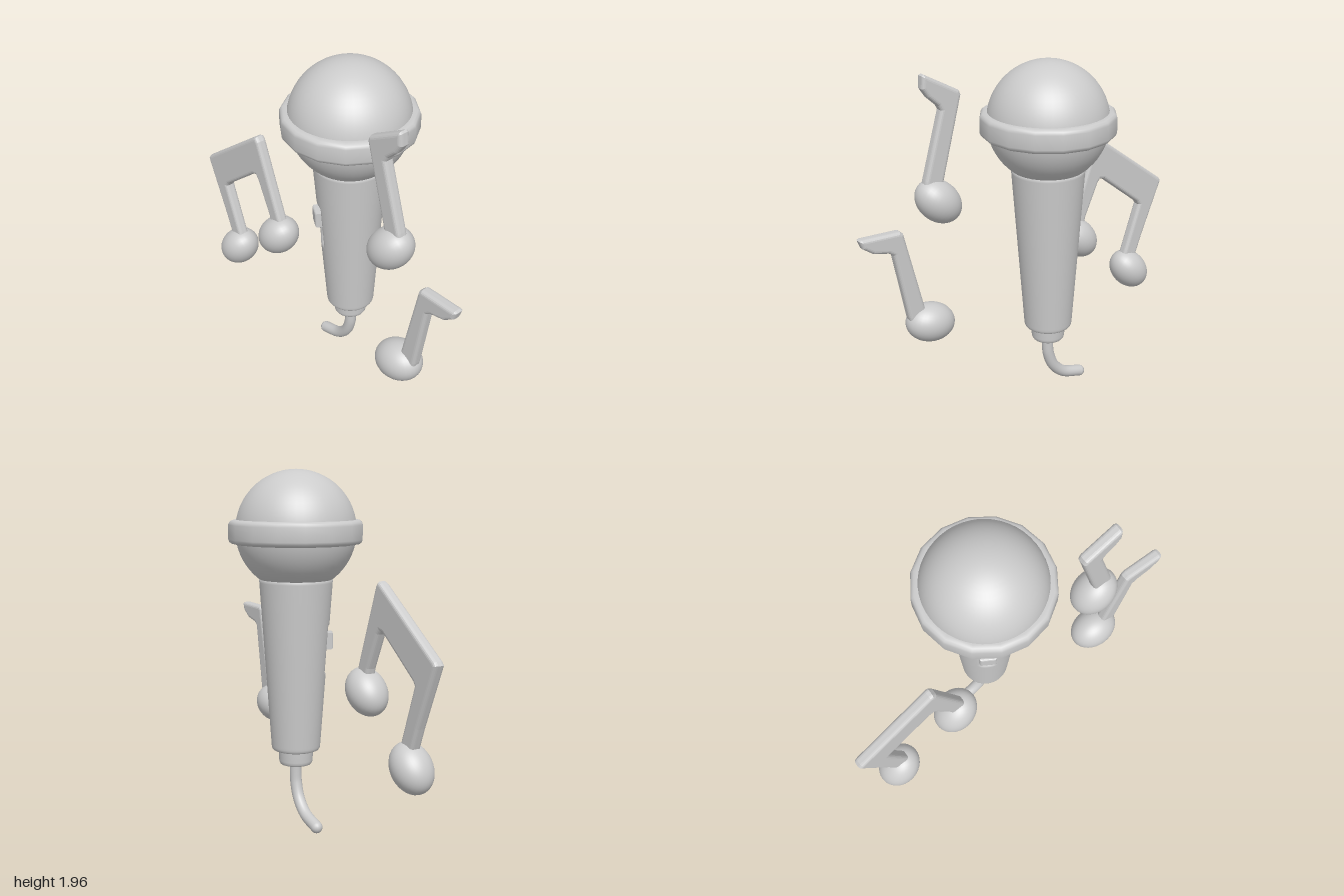
import * as THREE from 'three';

const material = new THREE.MeshStandardMaterial({ color: 0xcccccc });
const AXIS_X = -0.025; // centre line of the microphone
const NOTE_Z = 0.225; // plane of the floating notes

function add(parent, name, geometry) {
  const mesh = new THREE.Mesh(geometry, material);
  mesh.name = name;
  parent.add(mesh);
  return mesh;
}

const points = (list) => list.map(([x, y]) => new THREE.Vector2(x, y));

// Plate with rounded edges, centred on z = 0
function roundedPlate(outline, thickness, bevel) {
  const geometry = new THREE.ExtrudeGeometry(new THREE.Shape(points(outline)), {
    depth: thickness - 2 * bevel, bevelEnabled: true, bevelSize: bevel,
    bevelThickness: bevel, bevelOffset: -bevel, bevelSegments: 4,
  });
  return geometry.translate(0, 0, -thickness / 2 + bevel);
}

// Handle: tapered lathe with a shallow switch slot pressed in
const SWITCH_ANGLE = -0.52;
const handleRadius = (y) => 0.135 + ((y - 0.45) / 0.925) * 0.065;
function handleGeometry() {
  const profile = [[0, 0.43], [0.12, 0.43], [0.128, 0.433], [0.133, 0.44]];
  for (let i = 0; i <= 80; i++) {
    const y = 0.45 + (i / 80) * 0.925;
    profile.push([handleRadius(y), y]);
  }
  profile.push([0.194, 1.383], [0.15, 1.39]);
  const geometry = new THREE.LatheGeometry(points(profile), 120, Math.PI);
  const pos = geometry.attributes.position;
  for (let i = 0; i < pos.count; i++) {
    const x = pos.getX(i), y = pos.getY(i), z = pos.getZ(i);
    const side = Math.abs(Math.atan2(x, z) - SWITCH_ANGLE) * 0.178;
    const inX = 1 - THREE.MathUtils.smoothstep(side, 0.034, 0.055);
    const inY = 1 - THREE.MathUtils.smoothstep(Math.abs(y - 0.995), 0.11, 0.14);
    const r = Math.hypot(x, z);
    if (inX * inY > 0 && r > 0) {
      const k = 1 - (0.022 * inX * inY) / r;
      pos.setXYZ(i, x * k, y, z * k);
    }
  }
  geometry.computeVertexNormals();
  return geometry;
}

function createMicrophone() {
  const mic = new THREE.Group();
  mic.name = 'microphone';
  mic.position.x = AXIS_X;

  add(mic, 'head', new THREE.SphereGeometry(0.327, 48, 32)).position.y = 1.64;

  // Sixteen-sided band with rounded rims
  const rim = [[0.3, 1.57], [0.33, 1.57], [0.347, 1.573], [0.359, 1.582], [0.365, 1.597],
    [0.365, 1.635], [0.365, 1.673], [0.359, 1.688], [0.347, 1.697], [0.33, 1.7], [0.3, 1.7]];
  add(mic, 'headBand', new THREE.LatheGeometry(points(rim), 16));

  add(mic, 'handle', handleGeometry());

  // Switch button standing proud of the slot
  const button = add(mic, 'switchButton',
    roundedPlate([[-0.046, -0.045], [0.046, -0.045], [0.046, 0.045], [-0.046, 0.045]], 0.065, 0.012));
  const r = 0.17;
  button.position.set(Math.sin(SWITCH_ANGLE) * r, 1.045, Math.cos(SWITCH_ANGLE) * r);
  button.rotation.y = SWITCH_ANGLE;

  add(mic, 'cableCollar', new THREE.LatheGeometry(points([
    [0, 0.345], [0.078, 0.345], [0.086, 0.348], [0.091, 0.356], [0.094, 0.37], [0.096, 0.44],
  ]), 40));

  // Curved cable with a rounded end
  const path = new THREE.CatmullRomCurve3([
    [0.003, 0.38], [0.003, 0.3], [-0.003, 0.235], [-0.035, 0.15], [-0.105, 0.08], [-0.225, 0.04],
  ].map(([x, y]) => new THREE.Vector3(x, y, 0)));
  add(mic, 'cable', new THREE.TubeGeometry(path, 32, 0.033, 16));
  add(mic, 'cableEnd', new THREE.SphereGeometry(0.033, 16, 12)).position.copy(path.getPoint(1));
  return mic;
}

// Each note: a flat stem outline and tilted oval heads [x, y, long, short, tilt]
const notes = [
  {
    name: 'beamedNote',
    outline: [[-1.005, 1.04], [-0.87, 0.7], [-0.8, 0.5], [-0.7, 0.5], [-0.74, 0.62], [-0.838, 0.915],
      [-0.825, 0.935], [-0.56, 1.14], [-0.535, 1.145], [-0.52, 1.125], [-0.435, 0.93], [-0.4, 0.78],
      [-0.3, 0.78], [-0.335, 0.915], [-0.495, 1.375], [-0.515, 1.4], [-0.535, 1.392], [-0.99, 1.06]],
    heads: [[-0.795, 0.485, 0.143, 0.106, 0.85], [-0.388, 0.8, 0.143, 0.107, 0.8]],
  },
  {
    name: 'upperNote',
    outline: [[0.38, 1.8], [0.5, 1.35], [0.53, 1.22], [0.64, 1.22], [0.607, 1.37], [0.502, 1.735],
      [0.515, 1.76], [0.57, 1.81], [0.603, 1.86], [0.598, 1.925], [0.585, 1.932], [0.39, 1.825]],
    heads: [[0.527, 1.238, 0.145, 0.109, 0.78]],
  },
  {
    name: 'lowerNote',
    outline: [[0.752, 1.11], [0.65, 0.65], [0.62, 0.52], [0.725, 0.52], [0.748, 0.61], [0.815, 1.0],
      [0.84, 1.018], [0.925, 1.037], [0.985, 1.08], [1.0, 1.125], [0.985, 1.131], [0.77, 1.126]],
    heads: [[0.612, 0.54, 0.143, 0.111, 0.2]],
  },
];

function createNote({ name, outline, heads }) {
  const note = new THREE.Group();
  note.name = name;
  note.position.z = NOTE_Z;
  add(note, 'stem', roundedPlate(outline, 0.064, 0.02));
  for (const [x, y, long, short, tilt] of heads) {
    const head = add(note, 'noteHead', new THREE.SphereGeometry(1, 32, 24));
    head.scale.set(long, short, 0.112);
    head.rotation.z = tilt;
    head.position.set(x, y, 0);
  }
  return note;
}

export function createModel() {
  const model = new THREE.Group();
  model.name = 'microphoneWithNotes';
  model.add(createMicrophone(), ...notes.map(createNote));
  return model;
}
